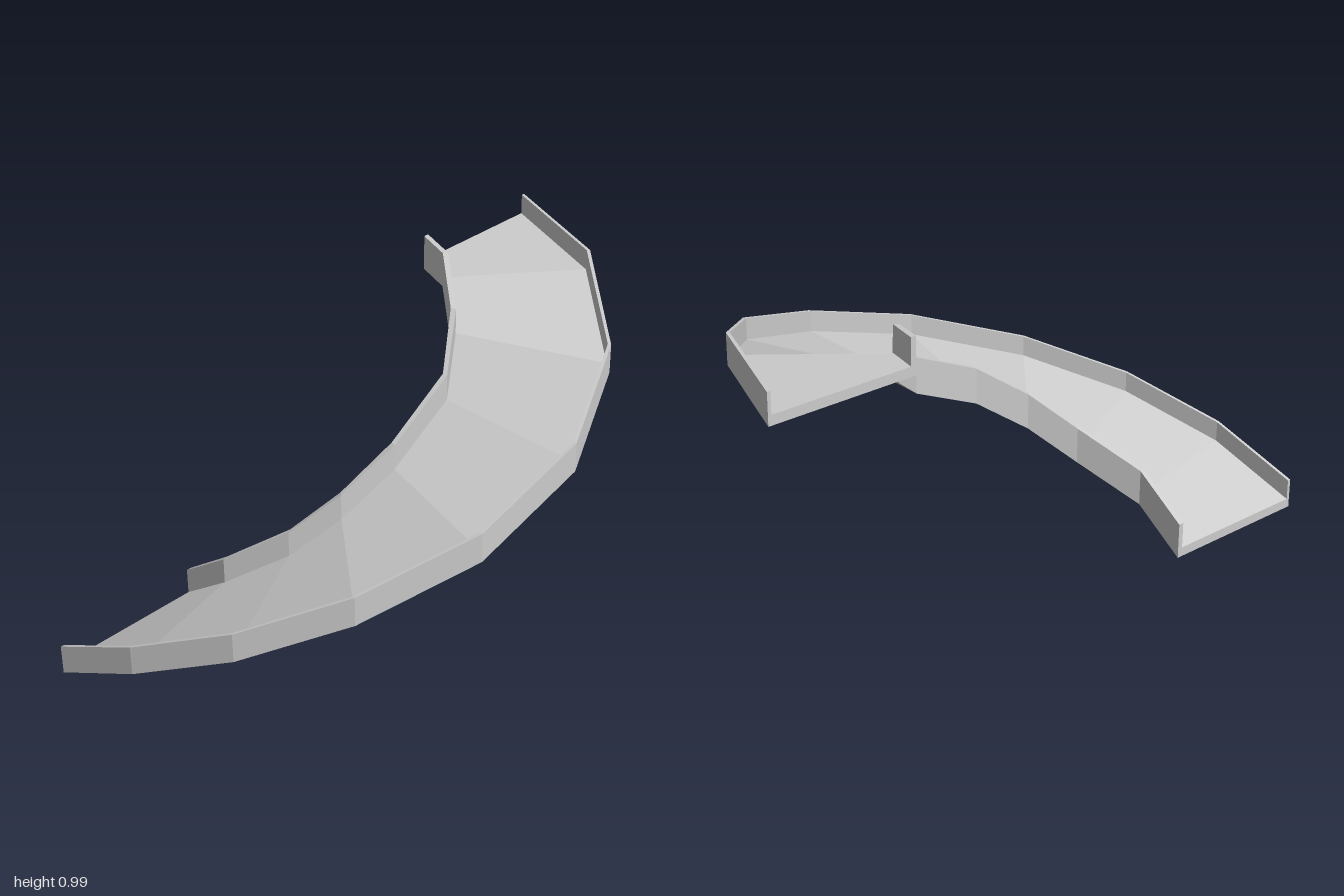
import * as THREE from 'three';

// Stations from the top end to the bottom end: [outer x, outer z, inner x, inner z, underside y]
const STATIONS = [
  [-0.412, -1.0, -0.4, -0.5, 0.872],
  [0.01, -0.845, -0.287, -0.468, 0.861],
  [0.323, -0.582, -0.172, -0.385, 0.738],
  [0.496, -0.222, -0.05, -0.222, 0.614],
  [0.5, 0.19, -0.016, 0.04, 0.492],
  [0.34, 0.55, -0.063, 0.215, 0.37],
  [0.095, 0.805, -0.16, 0.34, 0.248],
  [-0.2, 0.952, -0.327, 0.46, 0.124],
  [-0.487, 1.0, -0.5, 0.467, 0],
];
const OUTER_WALL = 0.011, INNER_WALL = 0.018, FLOOR = 0.031;
const OUTER_HEIGHT = 0.099, INNER_HEIGHT = 0.118;

// U-shaped cross-section, running from the outer bottom corner over both walls
function section([ox, oz, ix, iz, y]) {
  const outer = new THREE.Vector3(ox, y, oz);
  const inner = new THREE.Vector3(ix, y, iz);
  const across = inner.clone().sub(outer).normalize();
  const outerFace = outer.clone().addScaledVector(across, OUTER_WALL);
  const innerFace = inner.clone().addScaledVector(across, -INNER_WALL);
  const up = (p, h) => new THREE.Vector3(p.x, p.y + h, p.z);
  return [
    outer, up(outer, OUTER_HEIGHT), up(outerFace, OUTER_HEIGHT), up(outerFace, FLOOR),
    up(innerFace, FLOOR), up(innerFace, INNER_HEIGHT), up(inner, INNER_HEIGHT), inner,
  ];
}

export function createModel() {
  const rings = STATIONS.map(section);
  const positions = [], normals = [];
  // Four-sided panel with one shared normal, so that twisted panels shade evenly
  const quad = (a, b, c, d) => {
    const n = c.clone().sub(a).cross(d.clone().sub(b)).normalize();
    for (const p of [a, b, c, a, c, d]) {
      positions.push(p.x, p.y, p.z);
      normals.push(n.x, n.y, n.z);
    }
  };

  // Floor, underside and walls between neighbouring sections
  for (let i = 0; i < rings.length - 1; i++) {
    for (let j = 0; j < 8; j++) {
      const k = (j + 1) % 8;
      quad(rings[i][j], rings[i][k], rings[i + 1][k], rings[i + 1][j]);
    }
  }

  // End faces
  const first = rings[0], last = rings[rings.length - 1];
  for (const [a, b, c, d] of [[0, 1, 2, 3], [0, 3, 4, 7], [4, 5, 6, 7]]) {
    quad(last[a], last[b], last[c], last[d]);
    quad(first[d], first[c], first[b], first[a]);
  }

  const geometry = new THREE.BufferGeometry();
  geometry.setAttribute('position', new THREE.Float32BufferAttribute(positions, 3));
  geometry.setAttribute('normal', new THREE.Float32BufferAttribute(normals, 3));

  const chute = new THREE.Mesh(
    geometry,
    new THREE.MeshStandardMaterial({ color: 0xcccccc, side: THREE.DoubleSide })
  );
  chute.name = 'curvedChute';

  const group = new THREE.Group();
  group.name = 'slide';
  group.add(chute);
  return group;
}
